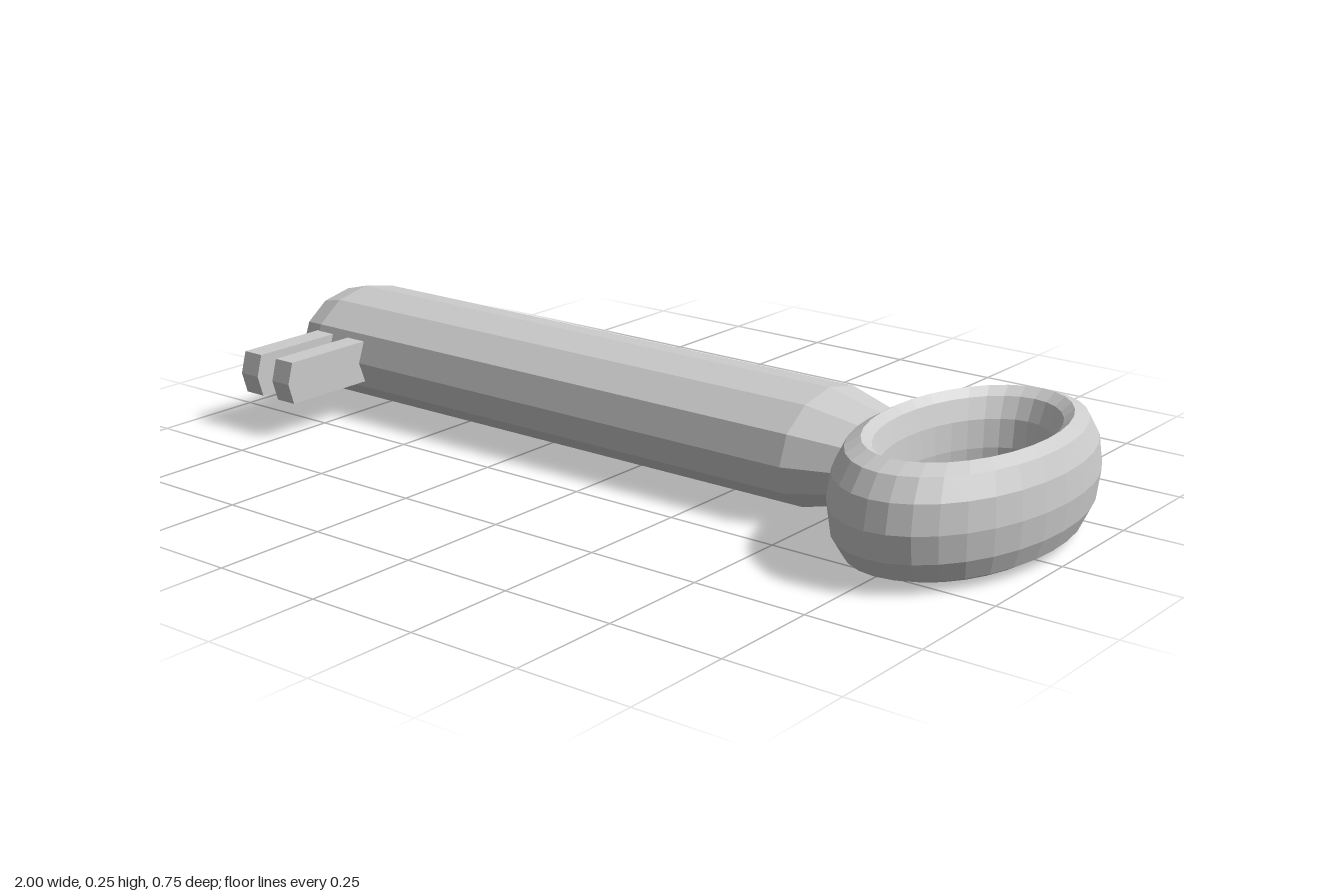
import * as THREE from 'three';

const material = new THREE.MeshStandardMaterial({ color: 0xcccccc, flatShading: true });

function addPart(group, name, geometry) {
  const mesh = new THREE.Mesh(geometry, material);
  mesh.name = name;
  group.add(mesh);
  return mesh;
}

const points = (list) => list.map(([a, b]) => new THREE.Vector2(a, b));

export function createModel() {
  const key = new THREE.Group();
  key.name = 'key';

  // Shaft: twelve-sided lathe along x, rounded tip, tapered neck, oval section
  const shaftProfile = points([
    [0, -1], [0.05, -0.995], [0.105, -0.97], [0.15, -0.93], [0.172, -0.87],
    [0.172, 0.45], [0.133, 0.56], [0.12, 0.6], [0, 0.6],
  ]);
  const shaft = new THREE.LatheGeometry(shaftProfile, 12);
  shaft.rotateZ(-Math.PI / 2);
  shaft.scale(1, 0.727, 1);
  addPart(key, 'shaft', shaft).position.set(0, 0.127, -0.013);

  // Bow: oval ring with a tall rounded section, fuller on the outside
  const centre = 0.283, section = [];
  for (let i = 0; i <= 12; i++) {
    const a = -Math.PI / 2 + (i / 12) * Math.PI * 2;
    const width = Math.cos(a) > 0 ? 0.084 : 0.058;
    section.push([centre + width * Math.cos(a), 0.118 * Math.sin(a)]);
  }
  const bow = new THREE.LatheGeometry(points(section), 32);
  bow.scale(0.6, 1, 1);
  addPart(key, 'bow', bow).position.set(0.778, 0.127, -0.011);

  // Bit: two teeth with shallow pointed ends, profile drawn in z and y
  const toothShape = new THREE.Shape(points([
    [0.08, 0.08], [0.363, 0.08], [0.377, 0.127], [0.363, 0.175], [0.08, 0.175],
  ]));
  [-0.825, -0.725].forEach((x, i) => {
    const tooth = new THREE.ExtrudeGeometry(toothShape, { depth: 0.052, bevelEnabled: false });
    tooth.rotateY(-Math.PI / 2);
    addPart(key, `tooth${i + 1}`, tooth).position.x = x;
  });

  return key;
}
